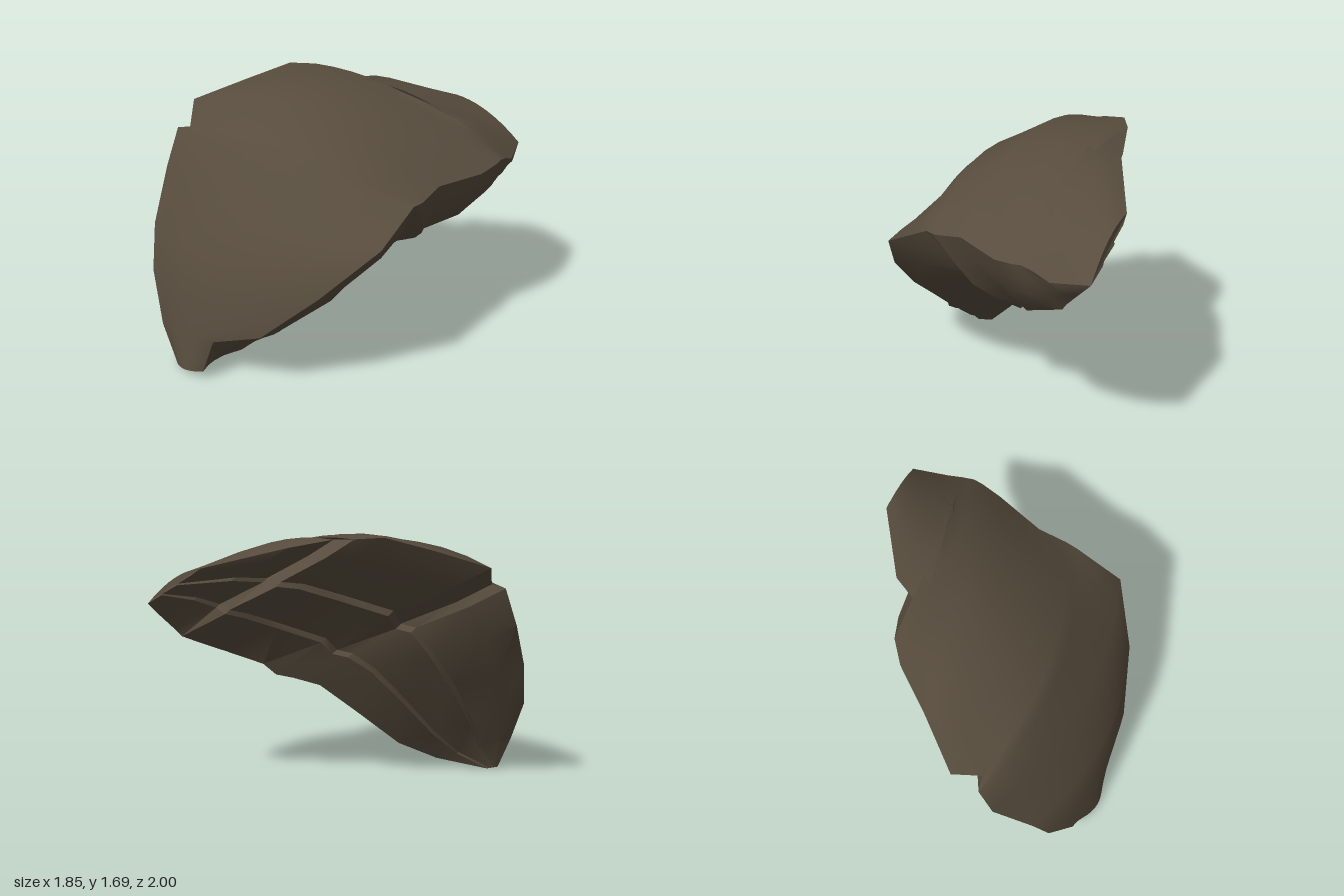
import * as THREE from 'three';
import { toCreasedNormals } from 'three/addons/utils/BufferGeometryUtils.js';

const stone = new THREE.MeshStandardMaterial({ color: 0x574c3d });
stone.name = 'dark brown stone';

// Each section: bulge of the outer face, left rim, right rim, keel at the back
const sections = [
  [0.05, [-0.5, 0.01, 0.93], [-0.22, 0.06, 0.97], [-0.45, 0, 0.87]],
  [0.03, [-0.61, 0.24, 0.92], [-0.14, 0.3, 0.95], [-0.18, 0.07, 0.65]],
  [0.07, [-0.78, 0.53, 0.81], [0.2, 0.44, 0.9], [-0.04, 0.2, 0.41]],
  [0.14, [-0.84, 0.81, 0.71], [0.53, 0.76, 0.75], [0.1, 0.46, 0.12]],
  [0.16, [-0.93, 1.11, 0.48], [0.8, 1.07, 0.52], [0.25, 0.64, -0.06]],
  [0.22, [-0.91, 1.35, 0.38], [0.8, 1.22, 0.2], [0.38, 0.69, -0.18]],
  [0.23, [-0.82, 1.37, 0.36], [0.81, 1.22, 0.12], [0.47, 0.71, -0.25]],
  [0.24, [-0.92, 1.49, 0.21], [0.8, 1.25, -0.07], [0.54, 0.78, -0.3]],
  [0.22, [-0.7, 1.6, -0.07], [0.9, 1.24, -0.4], [0.71, 0.87, -0.48]],
  [0.14, [-0.53, 1.68, -0.31], [0.92, 1.26, -0.54], [0.75, 0.95, -0.67]],
  [0.12, [-0.4, 1.67, -0.42], [0.92, 1.27, -0.6], [0.78, 1.0, -0.78]],
  [0.13, [-0.17, 1.65, -0.36], [0.91, 1.25, -0.68], [0.8, 1.05, -0.82]],
  [0.12, [-0.04, 1.61, -0.61], [0.9, 1.21, -0.78], [0.82, 1.14, -0.91]],
  [0.05, [0.39, 1.48, -0.93], [0.83, 1.23, -1], [0.83, 1.23, -1]],
].map(([bulge, ...rim]) => [bulge, ...rim.map((p) => new THREE.Vector3(...p))]);

// Arc from left to right rim; it bulges forward low down and upward near the top
function outerRow([bulge, l, r]) {
  const angle = 1.45 * (1 - THREE.MathUtils.smoothstep((l.z + r.z) / 2, 0.05, 0.45));
  const outward = new THREE.Vector3(0, Math.sin(angle), Math.cos(angle));
  const row = [];
  for (let i = 0; i <= 10; i++) {
    const t = i / 10;
    row.push(l.clone().lerp(r, t).addScaledVector(outward, 4 * t * (1 - t) * bulge));
  }
  return row;
}

// Slightly uneven break from right rim to keel
function sideRow([, , r, k], i) {
  const size = r.distanceTo(k);
  return [0, 0.25, 0.5, 0.75, 1].map((t) => {
    const swell = size * Math.sin(Math.PI * t) * (0.05 + 0.03 * Math.sin(i * 2.1 + t * 3));
    return r.clone().lerp(k, t).add(new THREE.Vector3(swell, -swell, 0));
  });
}

// Shallow split ledges from keel to left rim: [position, step depth]
const ledges = [[0, 0], [0.28, 0.02], [0.3, 0.005], [0.58, 0.03], [0.6, 0.01], [0.85, 0.02], [1, 0]];
const backward = new THREE.Vector3(-0.42, -0.52, -0.75);
function backRow([, l, , k]) {
  const size = l.distanceTo(k);
  return ledges.map(([t, d]) => k.clone().lerp(l, t).addScaledVector(backward, d * size));
}

function build(points, index, crease) {
  const g = new THREE.BufferGeometry().setFromPoints(points);
  g.setIndex(index);
  return toCreasedNormals(g, crease);
}

// Surface through rows of equal length
function skin(rows, crease) {
  const n = rows[0].length;
  const index = [];
  for (let v = 0; v < rows.length - 1; v++) {
    for (let u = 0; u < n - 1; u++) {
      const a = v * n + u, b = a + 1, c = b + n, d = a + n;
      index.push(a, b, c, a, c, d);
    }
  }
  return build(rows.flat(), index, crease);
}

// Fan that closes an end section
function cap(loop, up) {
  const centre = new THREE.Vector3();
  loop.forEach((p) => centre.addScaledVector(p, 1 / loop.length));
  const index = [];
  loop.forEach((_, i) => {
    const a = i + 1, b = ((i + 1) % loop.length) + 1;
    index.push(0, up ? a : b, up ? b : a);
  });
  return build([centre, ...loop], index, 0.5);
}

export function createModel() {
  const group = new THREE.Group();
  group.name = 'rockShard';
  const add = (name, geometry) => {
    const mesh = new THREE.Mesh(geometry, stone);
    mesh.name = name;
    group.add(mesh);
  };

  const outer = sections.map(outerRow);
  const side = sections.map(sideRow);
  const back = sections.map(backRow);
  const loop = (i) => [...outer[i], ...side[i].slice(1), ...back[i].slice(1, -1)];

  add('outerFace', skin(outer, 1.0));
  add('brokenSide', skin(side, 0.8));
  add('backFace', skin(back, 0.4));
  add('bottomEnd', cap(loop(0), false));
  add('topEnd', cap(loop(sections.length - 1), true));
  return group;
}
